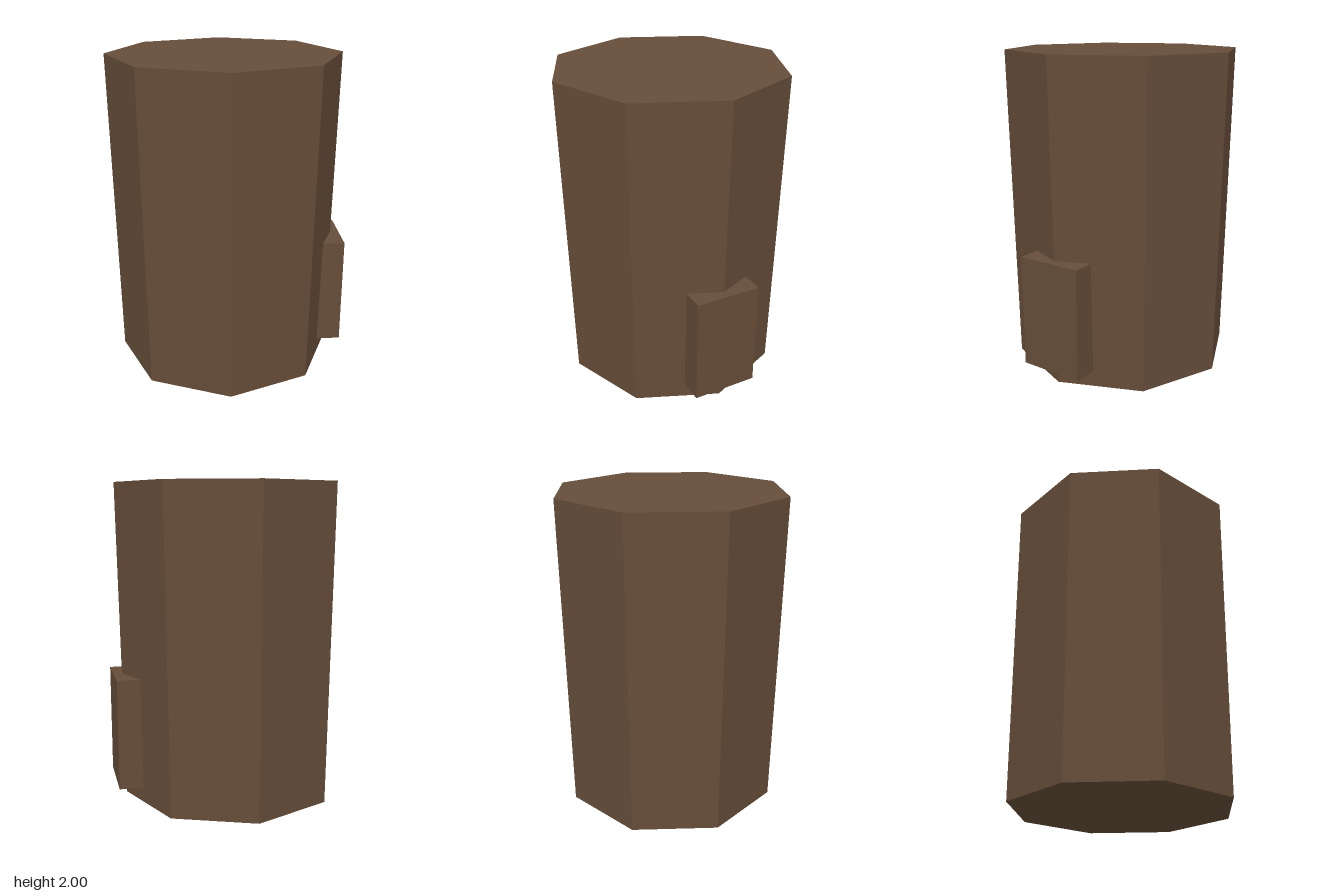
import * as THREE from 'three';

export function createModel() {
  const group = new THREE.Group();
  const brown = new THREE.MeshStandardMaterial({ color: 0x664d39 });
  brown.name = 'dark brown';
  brown.flatShading = true;

  const add = (name, geometry, x, y, z) => {
    const mesh = new THREE.Mesh(geometry, brown);
    mesh.name = name;
    mesh.position.set(x, y, z);
    group.add(mesh);
  };

  // Eight-sided body, slightly wider at the top
  add('body', new THREE.CylinderGeometry(0.734, 0.7, 2, 8), -0.018, 1, 0);

  // Block set into the left side near the bottom
  add('sideBlock', new THREE.BoxGeometry(0.21, 0.7, 0.416), 0.645, 0.45, 0);

  return group;
}
